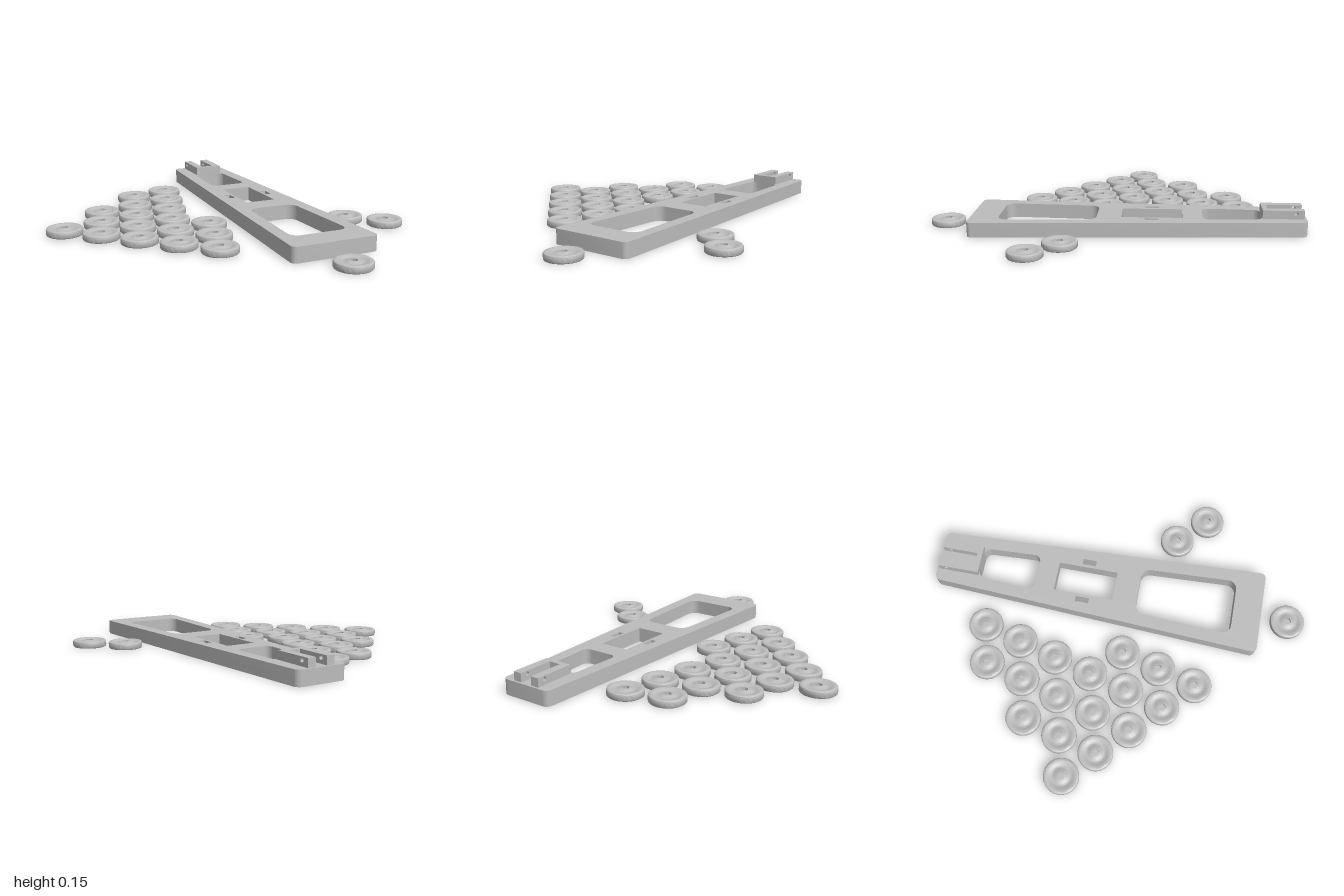
import * as THREE from 'three';
import { toCreasedNormals } from 'three/addons/utils/BufferGeometryUtils.js';

const grey = new THREE.MeshStandardMaterial({ color: 0xbcbcbc });
grey.name = 'plain grey';

const H = 0.095;        // board thickness
const GROOVE = 0.025;   // depth of the groove underneath
const L = 1.0775;       // half the board length
const halfWidth = u => 0.2227 + 0.0489 * u;

// Closed outline with every corner rounded by r
function outline(points, r, Type = THREE.Path) {
  const path = new Type();
  const p = points.map(([x, y]) => new THREE.Vector2(x, y));
  const toward = (a, b, d) => a.clone().add(b.clone().sub(a).setLength(d));
  p.forEach((c, i) => {
    const prev = p[(i + p.length - 1) % p.length], next = p[(i + 1) % p.length];
    if (r === 0) {
      if (i) path.lineTo(c.x, c.y); else path.moveTo(c.x, c.y);
      return;
    }
    const a = toward(c, prev, r), b = toward(c, next, r);
    const ka = toward(c, prev, r * 0.45), kb = toward(c, next, r * 0.45);
    if (i) path.lineTo(a.x, a.y); else path.moveTo(a.x, a.y);
    path.bezierCurveTo(ka.x, ka.y, kb.x, kb.y, b.x, b.y);
  });
  path.closePath();
  return path;
}

// Four corners between u0 and u1, following the board's taper at a given inset
const tapered = (u0, u1, inset) => {
  const a = halfWidth(u0) - inset, b = halfWidth(u1) - inset;
  return [[u0, -a], [u1, -b], [u1, b], [u0, a]];
};
const rect = (u, v, w, h) => [
  [u - w / 2, v - h / 2], [u + w / 2, v - h / 2], [u + w / 2, v + h / 2], [u - w / 2, v + h / 2]];

function mesh(name, geometry) {
  const m = new THREE.Mesh(geometry, grey);
  m.name = name;
  return m;
}

// One layer of the tapered board with all its through holes
function boardLayer(name, y, depth, extraHoles = []) {
  const shape = outline(tapered(-L, L, 0), 0.035, THREE.Shape);
  shape.holes.push(
    outline(tapered(-0.797, -0.417, 0.081), 0.045),
    outline(rect(-0.09, 0, 0.393, 0.194), 0),
    outline(tapered(0.265, 0.896, 0.081), 0.06),
    outline(rect(-0.09, 0.134, 0.09, 0.037), 0),
    outline(rect(-0.09, -0.134, 0.09, 0.037), 0),
    ...extraHoles);
  const g = new THREE.ExtrudeGeometry(shape, { depth, bevelEnabled: false, curveSegments: 10 });
  g.rotateX(-Math.PI / 2);
  g.translate(0, y, 0);
  return mesh(name, toCreasedNormals(g, 0.6));
}

function createBoard() {
  const board = new THREE.Group();
  board.name = 'board';

  // Groove along one long edge underneath, ending in a small pocket
  const outer = u => halfWidth(u) - 0.035, inner = u => halfWidth(u) - 0.06;
  const groove = outline([
    [-1.04, inner(-1.04)], [1.0, inner(1.0)], [1.0, inner(1.0) - 0.03],
    [1.04, inner(1.04) - 0.03], [1.04, outer(1.04)], [-1.04, outer(-1.04)]], 0);
  board.add(boardLayer('boardBottom', 0, GROOVE, [groove]));
  board.add(boardLayer('boardTop', GROOVE, H - GROOVE));

  // Raised bracket: two rails with pivot holes, joined by an end wall
  const bracket = new THREE.Group();
  bracket.name = 'bracket';
  const rail = outline([[-1.063, H], [-0.797, H], [-0.797, 0.15], [-1.063, 0.15]], 0, THREE.Shape);
  const pivot = new THREE.Path();
  pivot.absarc(-1.011, 0.13, 0.013, 0, Math.PI * 2, true);
  rail.holes.push(pivot);
  const railGeometry = toCreasedNormals(
    new THREE.ExtrudeGeometry(rail, { depth: 0.054, bevelEnabled: false, curveSegments: 20 }), 0.6);
  for (const z of [-0.093, 0.039]) {
    const m = mesh('bracketRail', railGeometry);
    m.position.z = z;
    bracket.add(m);
  }
  const wall = mesh('bracketWall', new THREE.BoxGeometry(0.033, 0.15 - H, 0.078));
  wall.position.set(-0.8135, (0.15 + H) / 2, 0);
  bracket.add(wall);
  board.add(bracket);

  board.rotation.y = -Math.PI / 4;
  board.position.set(0, 0, -0.072);
  return board;
}

// Disc with rounded rim, shallow ring-shaped dish and a centre hole
function discGeometry() {
  const R = 0.111, T = 0.045, f = 0.01, pts = [[0, 0], [R - f, 0]];
  for (let i = 1; i <= 4; i++) {
    const a = i / 4 * Math.PI / 2;
    pts.push([R - f + f * Math.sin(a), f - f * Math.cos(a)]);
  }
  for (let i = 0; i <= 4; i++) {
    const a = i / 4 * Math.PI / 2;
    pts.push([R - f + f * Math.cos(a), T - f + f * Math.sin(a)]);
  }
  for (let i = 0; i <= 10; i++) {
    const t = i / 10;
    pts.push([0.092 - t * 0.07, T - 0.005 * (1 - Math.cos(t * Math.PI * 2))]);
  }
  pts.push([0.022, T - 0.015], [0, T - 0.015]);
  const g = new THREE.LatheGeometry(pts.map(([x, y]) => new THREE.Vector2(x, y)), 48);
  return toCreasedNormals(g, 0.7);
}

export function createModel() {
  const model = new THREE.Group();
  model.name = 'discLauncherSet';
  model.add(createBoard());

  // Rows of discs: z, then x of each disc
  const a = -0.889, s = 0.2535;
  const even = n => Array.from({ length: n }, (_, i) => a + s * i);
  const odd = n => Array.from({ length: n }, (_, i) => a + s * (i + 0.5));
  const rows = [
    [-0.27, odd(1)],
    [-0.05, [...even(2), 0.63, 0.885]],
    [0.169, odd(2)],
    [0.388, even(4)],
    [0.607, odd(4)],
    [0.826, [...even(5), 0.885]]];
  const geometry = discGeometry();
  const discs = new THREE.Group();
  discs.name = 'discs';
  for (const [z, xs] of rows) for (const x of xs) {
    const d = mesh('disc', geometry);
    d.position.set(x, 0, z);
    discs.add(d);
  }
  model.add(discs);
  return model;
}
